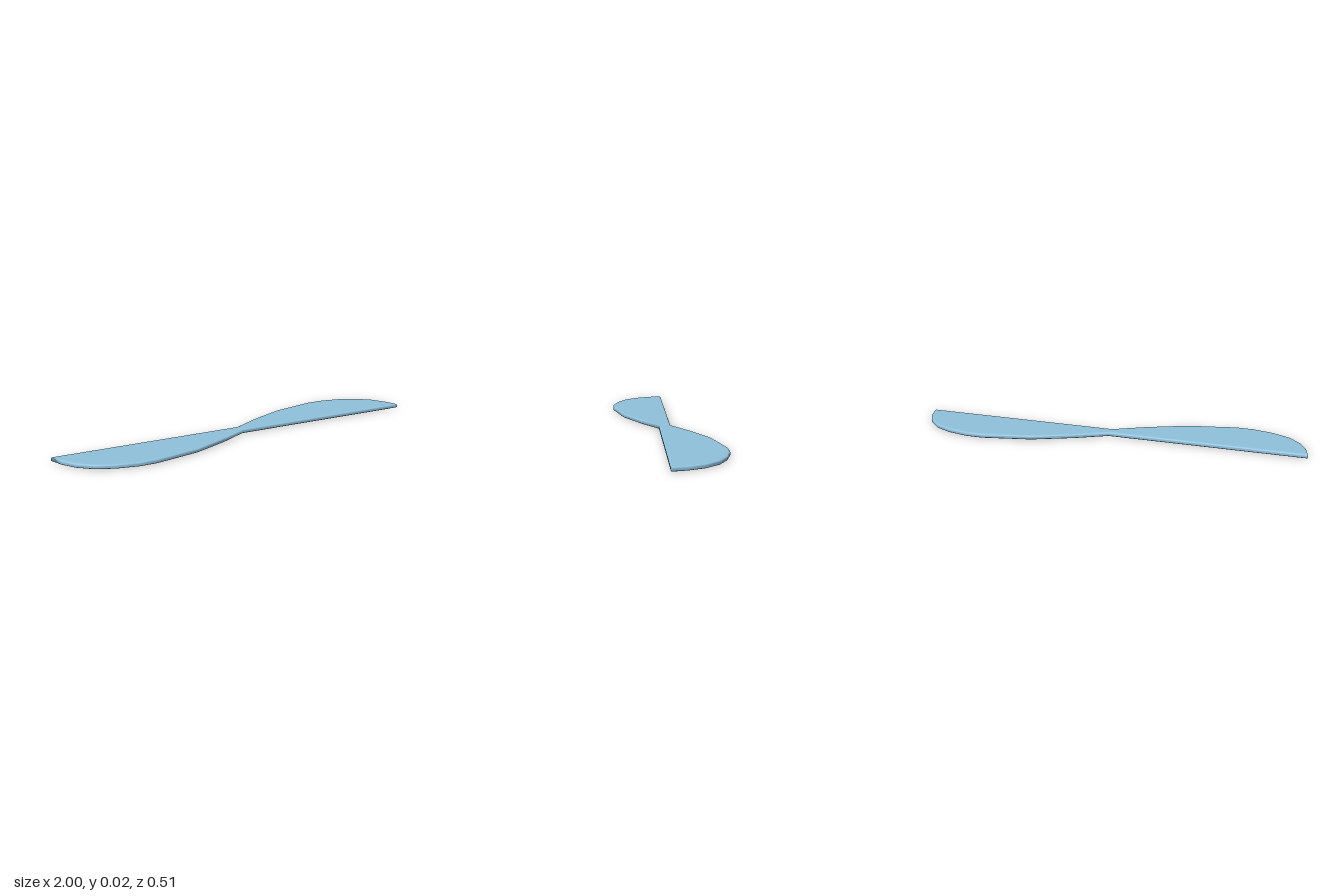
import * as THREE from 'three';
import { mergeVertices } from 'three/addons/utils/BufferGeometryUtils.js';

export function createModel() {
  const group = new THREE.Group();
  group.name = 'propeller';

  // outline of one blade, from the hub along the curved edge to the tip
  const blade = [
    [0, 0.03], [0.155, 0.115], [0.353, 0.203], [0.594, 0.256], [0.684, 0.256],
    [0.79, 0.232], [0.877, 0.19], [0.942, 0.125], [0.98, 0.05], [1, -0.027],
  ];
  // the second blade is the first turned half a turn about the hub
  const outline = [...blade, ...blade.map(([x, y]) => [-x, -y])]
    .map(([x, y]) => new THREE.Vector2(x, y)).reverse();

  // thin plate with rounded rims
  const bevel = 0.011, rim = 0.007, height = 0.022;
  let geometry = new THREE.ExtrudeGeometry(new THREE.Shape(outline), {
    depth: height - 2 * rim,
    bevelEnabled: true,
    bevelThickness: rim,
    bevelSize: bevel,
    bevelOffset: -bevel,
    bevelSegments: 4,
  });
  geometry.rotateX(-Math.PI / 2);
  geometry.translate(0, rim, 0);

  // share vertices so the shading runs smoothly over the rims
  geometry.deleteAttribute('uv');
  geometry.deleteAttribute('normal');
  geometry = mergeVertices(geometry, 1e-5);
  geometry.computeVertexNormals();

  const blades = new THREE.Mesh(geometry, new THREE.MeshStandardMaterial({ color: 0x8fc1dc }));
  blades.name = 'blades';
  group.add(blades);
  return group;
}
